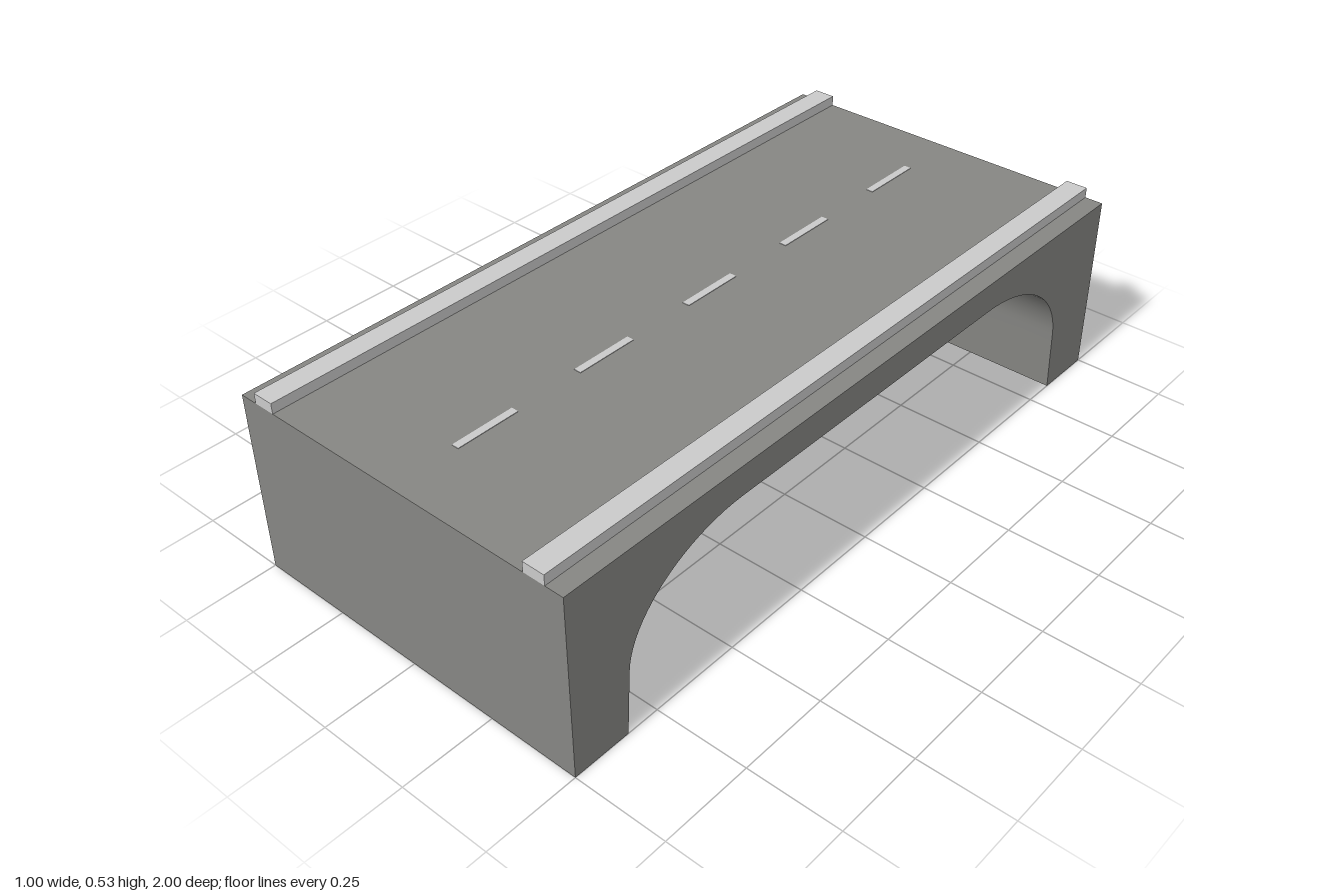
import * as THREE from 'three';
import { toCreasedNormals } from 'three/addons/utils/BufferGeometryUtils.js';

export function createModel() {
  const bridge = new THREE.Group();
  bridge.name = 'bridge';

  const concrete = new THREE.MeshStandardMaterial({ color: 0x868683 });
  concrete.name = 'concrete grey';
  const pale = new THREE.MeshStandardMaterial({ color: 0xcacaca });
  pale.name = 'pale grey';

  // Deck and both abutments: one side profile (x = length, y = height) swept across the width
  const profile = new THREE.Shape();
  profile.moveTo(-1, 0);
  profile.lineTo(-0.835, 0);
  profile.lineTo(-0.825, 0.17);
  profile.bezierCurveTo(-0.82, 0.31, -0.66, 0.42, -0.47, 0.42);
  profile.lineTo(0.47, 0.42);
  profile.bezierCurveTo(0.66, 0.42, 0.825, 0.31, 0.83, 0.17);
  profile.lineTo(0.84, 0);
  profile.lineTo(1, 0);
  profile.lineTo(1, 0.5);
  profile.lineTo(-1, 0.5);
  profile.closePath();
  let span = new THREE.ExtrudeGeometry(profile, { depth: 1, bevelEnabled: false, curveSegments: 20 });
  span.rotateY(-Math.PI / 2).translate(0.5, 0, 0);
  span = toCreasedNormals(span, 0.5);
  const spanMesh = new THREE.Mesh(span, concrete);
  spanMesh.name = 'archedSpan';
  bridge.add(spanMesh);

  const addBox = (name, w, h, d, x, y, z) => {
    const mesh = new THREE.Mesh(new THREE.BoxGeometry(w, h, d), pale);
    mesh.name = name;
    mesh.position.set(x, y, z);
    bridge.add(mesh);
  };

  // Kerbs along both edges, seated slightly into the deck
  for (const side of [1, -1]) {
    addBox(side > 0 ? 'leftKerb' : 'rightKerb', 0.06, 0.032, 2, side * 0.42, 0.512, 0);
  }

  // Dashed centre line
  for (let i = 0; i < 5; i++) {
    addBox('laneDash' + (i + 1), 0.02, 0.002, 0.175, -0.003, 0.5005, -0.742 + i * 0.3685);
  }

  return bridge;
}
